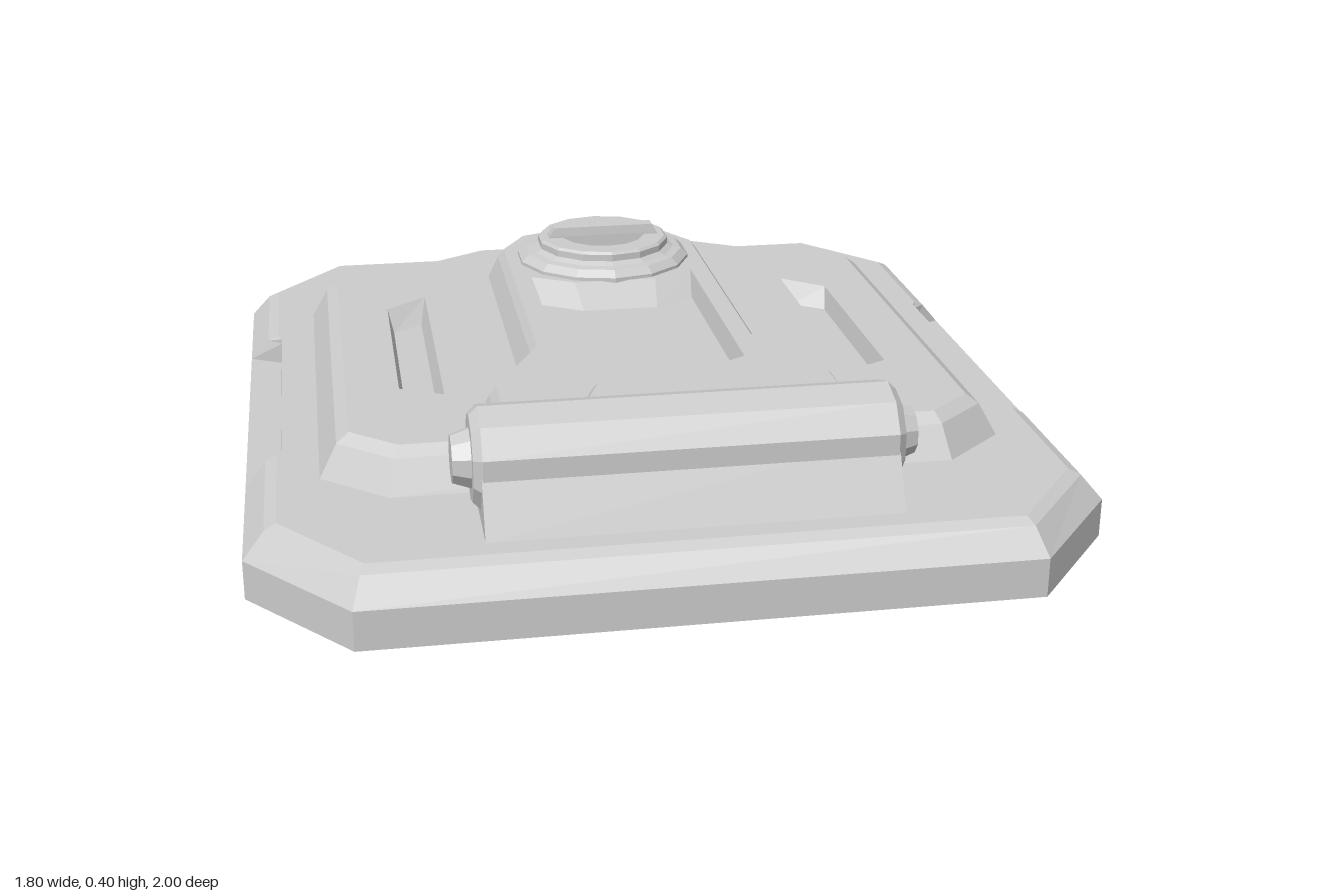
import * as THREE from 'three';

const grey = new THREE.MeshStandardMaterial({ color: 0xcccccc, flatShading: true });

// Outlines are lists of [x, z]; sym mirrors a half outline (x > 0) to the other side
const sym = half => [...half, ...half.map(([x, z]) => [-x, z]).reverse()];
const mirrorX = pts => pts.map(([x, z]) => [-x, z]);
const toVec = pts => pts.map(([x, z]) => new THREE.Vector2(x, -z));
const ccw = pts => (THREE.ShapeUtils.isClockWise(toVec(pts)) ? [...pts].reverse() : pts);

// Move every edge of an outline inwards by d
function inset(outline, d) {
  const p = ccw(outline), n = p.length;
  const normal = (a, b) => {
    const dx = b[0] - a[0], dz = b[1] - a[1], l = Math.hypot(dx, dz);
    return [dz / l, -dx / l];
  };
  return p.map((q, i) => {
    const u = normal(p[(i + n - 1) % n], q), v = normal(q, p[(i + 1) % n]);
    const k = d / (1 + u[0] * v[0] + u[1] * v[1]);
    return [q[0] + (u[0] + v[0]) * k, q[1] + (u[1] + v[1]) * k];
  });
}

// Stack of outlines [outline, y] joined by walls and closed at the last one.
// Each pocket is a stack going down from the top face.
function loftTriangles(rings, pockets, out) {
  const stack = rings.map(([p, y]) => ccw(p).map(([x, z]) => [x, y, z]));
  for (let r = 0; r + 1 < stack.length; r++) {
    const a = stack[r], b = stack[r + 1], n = a.length;
    for (let i = 0; i < n; i++) {
      const j = (i + 1) % n;
      out.push(...a[i], ...a[j], ...b[j], ...a[i], ...b[j], ...b[i]);
    }
  }
  const top = stack[stack.length - 1], y = top[0][1];
  const contour = top.map(([x, , z]) => new THREE.Vector2(x, -z));
  const holes = pockets.map(k => toVec(ccw(k[0][0])).reverse());
  const all = [...contour, ...holes.flat()];
  for (const f of THREE.ShapeUtils.triangulateShape(contour, holes)) {
    const [a, b, c] = f.map(i => all[i]);
    const up = (b.x - a.x) * (c.y - a.y) - (b.y - a.y) * (c.x - a.x) > 0;
    for (const v of up ? [a, b, c] : [a, c, b]) out.push(v.x, y, -v.y);
  }
  for (const k of pockets) loftTriangles(k, [], out);
}

function loft(rings, pockets = []) {
  const out = [];
  loftTriangles(rings, pockets, out);
  // underside
  const pts = ccw(rings[0][0]);
  for (const f of THREE.ShapeUtils.triangulateShape(toVec(pts), [])) {
    for (const i of [f[0], f[2], f[1]]) out.push(pts[i][0], rings[0][1], pts[i][1]);
  }
  const g = new THREE.BufferGeometry();
  g.setAttribute('position', new THREE.Float32BufferAttribute(out, 3));
  return g;
}

const lathe = (pts, sides) =>
  new THREE.LatheGeometry(pts.map(([r, y]) => new THREE.Vector2(r, y)), sides);

export function createModel() {
  const group = new THREE.Group();
  const add = (name, geometry) => {
    const g = geometry.index ? geometry.toNonIndexed() : geometry;
    g.computeVertexNormals();
    const mesh = new THREE.Mesh(g, grey);
    mesh.name = name;
    group.add(mesh);
    return mesh;
  };

  // Base plate with cut corners, bevelled rim and a notch in each side
  const baseRing = (i, notchX, notchZ) => {
    const w = 0.9 - i, l = 1 - i, cx = 0.69 - 0.4 * i, cz = 0.75 - 0.4 * i, z = 0.4 - 0.4 * i;
    return sym([[cx, l], [w, cz], [w, z], [notchX, notchZ], [notchX, -notchZ],
      [w, -z], [w, -cz], [cx, -l]]);
  };
  add('basePlate', loft([
    [baseRing(0, 0.9, 0.36), 0], [baseRing(0, 0.9, 0.36), 0.085],
    [baseRing(0, 0.825, 0.36), 0.085], [baseRing(0.045, 0.82, 0.355), 0.138],
    [baseRing(0.07, 0.82, 0.355), 0.15],
  ]));

  // Raised lid with a slanted slot on each side
  const lid = sym([[0.6, 0.64], [0.74, 0.52], [0.74, -0.53], [0.59, -0.71], [0.45, -0.7], [0.3, -0.79]]);
  const slotTop = [[0.46, -0.36], [0.46, 0.31], [0.557, 0.26], [0.557, -0.28]];
  const slotFloor = [[0.475, -0.28], [0.475, 0.235], [0.545, 0.21], [0.545, -0.23]];
  const slot = f => [[f(slotTop), 0.24], [f(slotFloor), 0.195]];
  add('lid', loft(
    [[lid, 0.15], [inset(lid, 0.038), 0.22], [inset(lid, 0.065), 0.24]],
    [slot(p => p), slot(mirrorX)],
  ));

  // Hinge arm: round at the back, flared towards the hinge, with a sunken panel
  const arm = sym([[0.4, 0.72], [0.4, 0.46], [0.285, 0.23], [0.285, -0.5], [0.21, -0.63], [0.08, -0.68]]);
  const panelTop = sym([[0.1, 0.437], [0.2, 0.375], [0.2, -0.25], [0.1, -0.19]]);
  const panelFloor = sym([[0.09, 0.365], [0.187, 0.3], [0.187, -0.165], [0.09, -0.105]]);
  add('hingeArm', loft(
    [[arm, 0.15], [arm, 0.24], [inset(arm, 0.025), 0.295], [inset(arm, 0.04), 0.315]],
    [[[panelTop, 0.315], [panelFloor, 0.27]]],
  ));

  // Hinge support, tab, barrel and end pins
  const support = w => sym([[w, 0.88], [w, 0.64]]);
  add('hingeSupport', loft([
    [support(0.425), 0.15], [sym([[0.425, 0.81], [0.425, 0.64]]), 0.29],
  ]));
  add('hingeTab', loft([
    [sym([[0.205, 0.72], [0.205, 0.64], [0.17, 0.54]]), 0.31],
    [sym([[0.2, 0.72], [0.2, 0.645], [0.165, 0.55]]), 0.33],
    [sym([[0.19, 0.72], [0.185, 0.65], [0.155, 0.575]]), 0.352],
  ]));
  const placeOnHinge = (name, pts) => {
    const g = lathe(pts, 10);
    g.rotateZ(-Math.PI / 2).rotateX(Math.PI / 10);
    add(name, g).position.set(0, 0.265, 0.723);
  };
  placeOnHinge('hingeBarrel', [[0, -0.44], [0.092, -0.44], [0.11, -0.422],
    [0.11, 0.422], [0.092, 0.44], [0, 0.44]]);
  placeOnHinge('hingePin', [[0, -0.478], [0.05, -0.478], [0.065, -0.435],
    [0.065, 0.435], [0.05, 0.478], [0, 0.478]]);

  // Round lock cap with a finger well and a grip bar across it
  add('lockCap', lathe([[0.218, 0.3], [0.218, 0.323], [0.2, 0.339], [0.18, 0.342],
    [0.165, 0.35], [0.165, 0.366], [0.158, 0.372], [0.105, 0.372], [0.095, 0.345], [0, 0.345]], 14))
    .position.z = -0.4;
  const bar = (x, z) => sym([[x, -0.4 + z], [x, -0.4 - z]]);
  add('gripBar', loft([[bar(0.142, 0.019), 0.34], [bar(0.138, 0.019), 0.375], [bar(0.125, 0.017), 0.397]]));

  return group;
}
